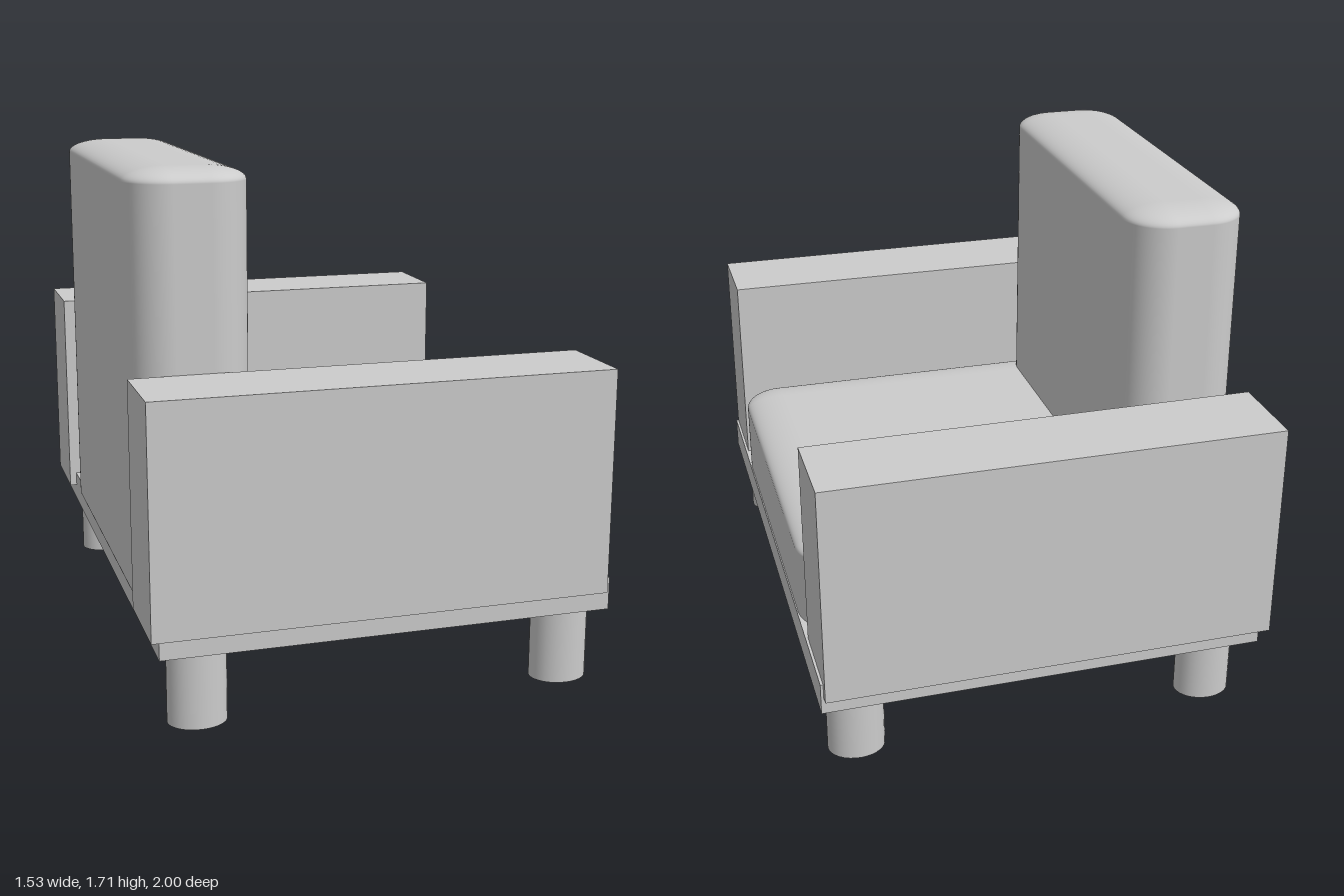
import * as THREE from 'three';
import { RoundedBoxGeometry } from 'three/addons/geometries/RoundedBoxGeometry.js';

const material = new THREE.MeshStandardMaterial({ color: 0xcccccc });

export function createModel() {
  const model = new THREE.Group();
  model.name = 'armchair';

  // Places a geometry of the right size between two opposite corners
  function add(name, geometry, min, max) {
    const mesh = new THREE.Mesh(geometry, material);
    mesh.name = name;
    mesh.position.set(...min.map((v, i) => (v + max[i]) / 2));
    model.add(mesh);
  }

  function block(name, min, max) {
    const size = max.map((v, i) => v - min[i]);
    add(name, new THREE.BoxGeometry(...size), min, max);
  }

  // Cushion: wide rounding in plan, flatter rounding in height
  function cushion(name, min, max, radius = 0.14, flatten = 0.33) {
    const [w, h, d] = max.map((v, i) => v - min[i]);
    const geometry = new RoundedBoxGeometry(w, h / flatten, d, 8, radius);
    geometry.scale(1, flatten, 1);
    add(name, geometry, min, max);
  }

  // Base board and the two arm blocks; the seat opens towards +x
  block('base', [-0.745, 0.25, -0.97], [0.764, 0.36, 0.993]);
  block('frontArm', [-0.77, 0.31, 0.695], [0.755, 1.066, 1]);
  block('backArm', [-0.77, 0.31, -1], [0.755, 1.066, -0.697]);

  // Seat and backrest cushions, sunk into the base
  cushion('seatCushion', [-0.72, 0.28, -0.677], [0.76, 0.66, 0.692]);
  cushion('backCushion', [-0.75, 0.28, -0.68], [-0.35, 1.708, 0.693]);

  // Four slightly oval legs
  for (const x of [-0.61, 0.63]) {
    for (const z of [-0.827, 0.9]) {
      const leg = new THREE.CylinderGeometry(1, 1, 0.25, 32);
      leg.scale(0.097, 1, 0.079);
      add('leg', leg, [x, 0, z], [x, 0.25, z]);
    }
  }
  return model;
}
